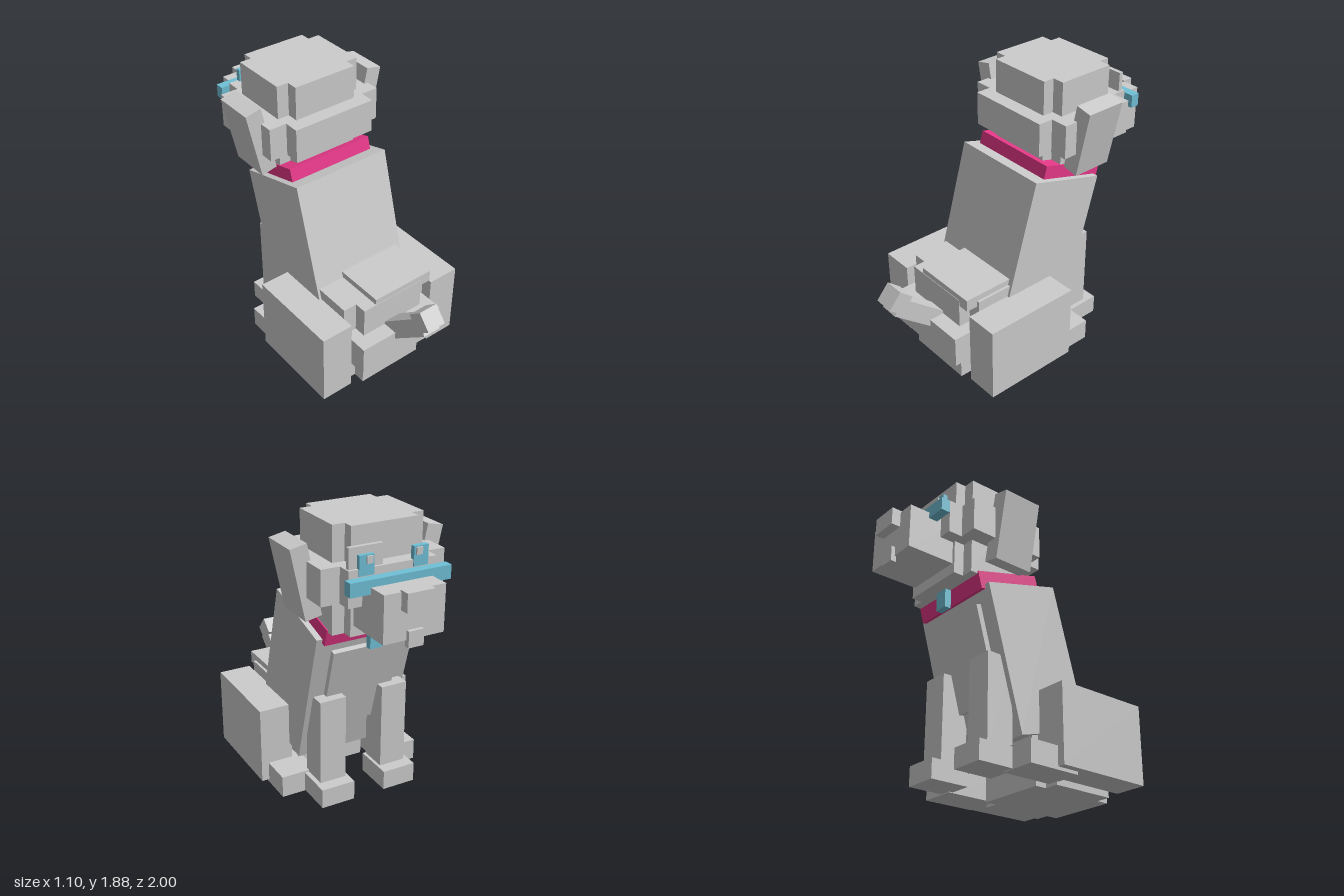
import * as THREE from 'three';

export function createModel() {
  const root = new THREE.Group();
  root.name = 'sittingDog';

  const mat = (name, color) => {
    const m = new THREE.MeshStandardMaterial({ color });
    m.name = name;
    return m;
  };
  const grey = mat('coat grey', 0xcccccc);
  const pink = mat('collar pink', 0xe63888);
  const blue = mat('accent blue', 0x6fc0d6);

  // Box from its ranges on each axis
  function box(name, [x0, x1], [y0, y1], [z0, z1], material = grey) {
    const mesh = new THREE.Mesh(new THREE.BoxGeometry(x1 - x0, y1 - y0, z1 - z0), material);
    mesh.position.set((x0 + x1) / 2, (y0 + y1) / 2, (z0 + z1) / 2);
    mesh.name = name;
    root.add(mesh);
    return mesh;
  }

  // Box from size and centre, turned about x
  function tilted(name, size, centre, angle, material = grey) {
    const mesh = new THREE.Mesh(new THREE.BoxGeometry(...size), material);
    mesh.position.set(...centre);
    mesh.rotation.x = angle;
    mesh.name = name;
    root.add(mesh);
    return mesh;
  }

  // Head: two crossed boxes with a wider crossed band
  box('headWide', [-0.3, 0.3], [1.22, 1.88], [-0.55, -0.16]);
  box('headLong', [-0.22, 0.22], [1.22, 1.88], [-0.62, -0.085]);
  box('cheekBandWide', [-0.41, 0.41], [1.44, 1.66], [-0.62, -0.09]);
  box('cheekBandLong', [-0.29, 0.29], [1.44, 1.66], [-0.715, 0.01]);
  box('muzzle', [-0.2, 0.2], [1.29, 1.58], [-0.94, -0.6]);
  box('nose', [-0.09, 0.09], [1.475, 1.59], [-1.0, -0.93]);
  box('tongue', [-0.05, 0.05], [1.25, 1.35], [-0.965, -0.93]);

  // Eyes, eye patch and the bar across the face
  box('eyePatch', [0.06, 0.28], [1.6, 1.785], [-0.697, -0.67]);
  for (const s of [-1, 1]) {
    const cx = s * 0.178;
    box('eye', [cx - 0.048, cx + 0.048], [1.62, 1.74], [-0.722, -0.69], blue);
    box('pupil', [s * 0.162 - 0.02, s * 0.162 + 0.02], [1.69, 1.733], [-0.733, -0.72]);
  }
  box('faceBar', [-0.33, 0.33], [1.54, 1.625], [-0.805, -0.745], blue);

  // Torso leaning forward, with chest plate, collar and tag
  const lean = -0.276;
  const torso = tilted('torso', [0.694, 0.956, 0.55], [0, 0.775, -0.055], lean);
  const chest = new THREE.Mesh(new THREE.BoxGeometry(0.47, 0.6, 0.08), grey);
  chest.name = 'chestPlate';
  chest.position.set(0, 0.075, -0.27);
  torso.add(chest);
  tilted('collar', [0.616, 0.114, 0.48], [0, 1.245, -0.257], lean, pink);
  box('collarTag', [-0.045, 0.045], [1.08, 1.205], [-0.555, -0.51], blue);

  // Hindquarters
  box('rumpWide', [-0.33, 0.33], [0, 0.625], [0.09, 0.525]);
  box('rumpLong', [-0.235, 0.235], [0, 0.625], [0.01, 0.607]);
  box('hipBand', [-0.32, 0.32], [0.21, 0.42], [-0.09, 0.71]);
  box('rumpPatch', [-0.14, 0.312], [0.583, 0.665], [0.25, 0.604]);

  // Paired parts: ears, haunches, feet and front legs
  for (const s of [-1, 1]) {
    const pair = (name, a, b, y, z) => box(name, s > 0 ? [a, b] : [-b, -a], y, z);
    const ear = box('ear', [-0.055, 0.055], [1.3, 1.757], [-0.452, -0.18]);
    ear.position.x = s * 0.412;
    ear.rotation.z = -s * 0.207;
    pair('haunch', 0.33, 0.55, [0.04, 0.555], [-0.055, 0.602]);
    pair('hindFoot', 0.26, 0.5, [0.02, 0.165], [-0.26, 0.1]);
    pair('frontLeg', 0.13, 0.31, [0.1, 0.725], [-0.42, -0.235]);
    pair('frontPaw', 0.11, 0.34, [0.025, 0.155], [-0.5, -0.23]);
  }

  // Tail rising backwards with a stepped tip
  tilted('tail', [0.126, 0.12, 0.433], [0, 0.492, 0.763], -0.697);
  tilted('tailTip', [0.134, 0.129, 0.114], [0, 0.66, 0.916], -0.72);

  return root;
}
